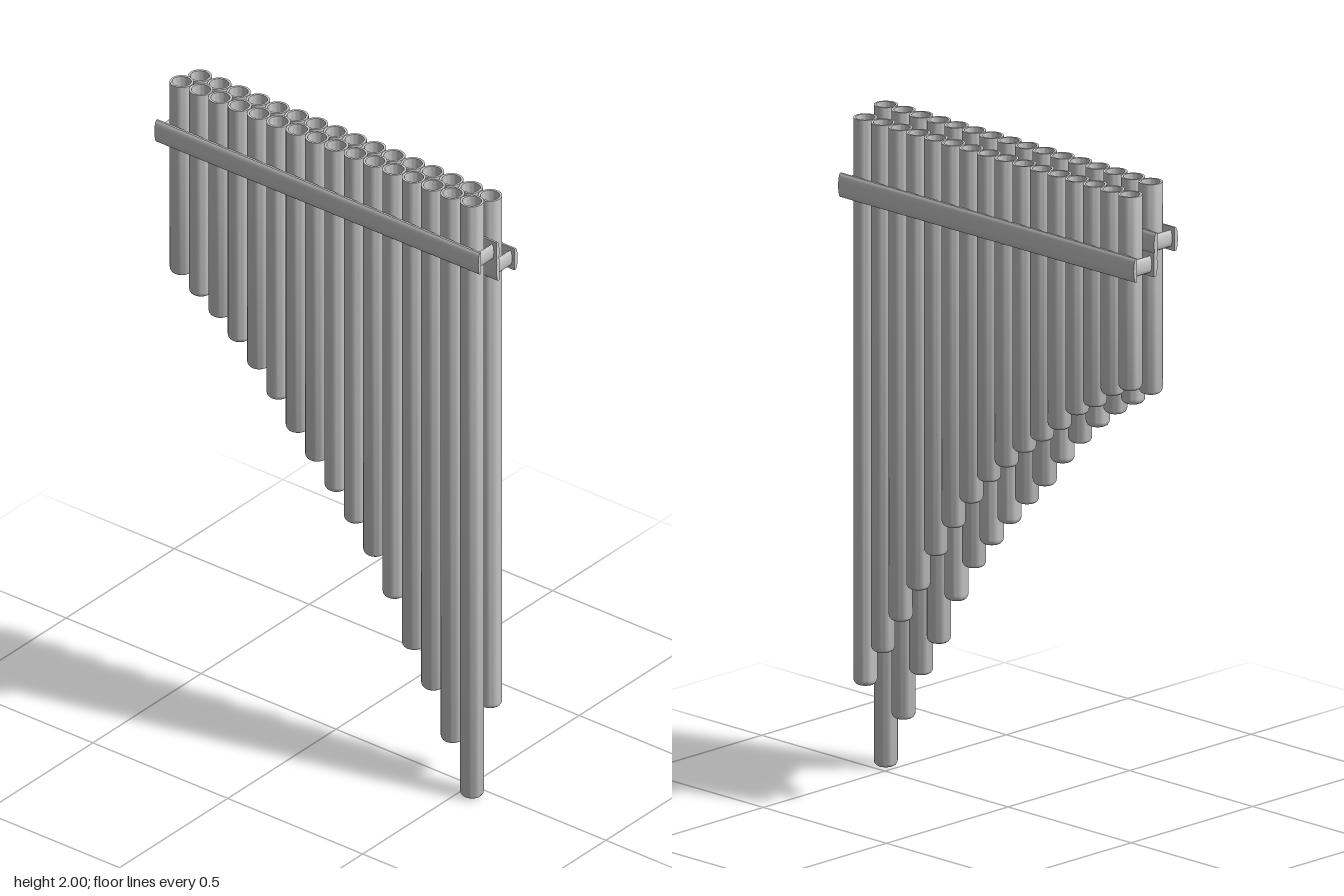
import * as THREE from 'three';
import { toCreasedNormals } from 'three/addons/utils/BufferGeometryUtils.js';

const grey = new THREE.MeshStandardMaterial({ color: 0xcccccc });

// Pipe lengths, from the longest (+x) to the shortest (-x)
const FRONT = [2, 1.84, 1.69, 1.58, 1.435, 1.32, 1.235, 1.155, 1.08, 1.01, 0.925, 0.85, 0.785, 0.73, 0.685, 0.64];
const BACK = [1.715, 1.6, 1.49, 1.38, 1.26, 1.16, 1.07, 0.99, 0.93, 0.87, 0.82, 0.77, 0.71, 0.67, 0.62, 0.59];
const STEP = 0.0717, R = 0.035, INNER = 0.028, FIRST_X = 0.5375;

function add(group, name, geometry, x, y, z) {
  const mesh = new THREE.Mesh(geometry, grey);
  mesh.name = name;
  mesh.position.set(x, y, z);
  group.add(mesh);
  return mesh;
}

// Hollow tube, open at the top (y = 0), with a rounded closed bottom
function pipeGeometry(length) {
  const pts = [new THREE.Vector2(0, -length)];
  const round = 0.018;
  for (let i = 0; i <= 4; i++) {
    const a = (i / 4) * Math.PI / 2;
    pts.push(new THREE.Vector2(R - round + round * Math.sin(a), -length + round - round * Math.cos(a)));
  }
  pts.push(
    new THREE.Vector2(R, 0),
    new THREE.Vector2(INNER, 0),
    new THREE.Vector2(INNER, -length + 0.03),
    new THREE.Vector2(INNER * 0.6, -length + 0.013),
    new THREE.Vector2(0, -length + 0.01)
  );
  return toCreasedNormals(new THREE.LatheGeometry(pts, 28), 0.7);
}

// Long half-round rail along x: flat towards the pipes, bulging to +z
function railGeometry() {
  const h = 0.036, t = 0.0075;
  const s = new THREE.Shape();
  s.moveTo(-t, -h);
  s.lineTo(-t * 0.2, -h);
  s.bezierCurveTo(t * 1.2, -h * 0.8, t * 1.2, h * 0.8, -t * 0.2, h);
  s.lineTo(-t, h);
  s.closePath();
  const g = new THREE.ExtrudeGeometry(s, { depth: 1.2, bevelEnabled: false, curveSegments: 10 });
  g.translate(0, 0, -0.6);
  g.rotateY(-Math.PI / 2);
  return toCreasedNormals(g, 0.7);
}

// Short flat strap along z with rounded long edges
function strapGeometry() {
  const g = new THREE.CapsuleGeometry(0.0075, 0.081, 4, 12);
  g.rotateX(Math.PI / 2);
  g.scale(1, 3.4, 1);
  return g;
}

// One row: pipes, rails on both faces, and a strap at each end
function makeRow(name, lengths, topY, railY, z, outward) {
  const row = new THREE.Group();
  row.name = name;
  lengths.forEach((length, i) => {
    add(row, 'pipe' + (i + 1), pipeGeometry(length), FIRST_X - i * STEP, topY, z);
  });
  const rail = railGeometry();
  for (const side of [1, -1]) {
    const m = add(row, side === outward ? 'outerRail' : 'innerRail', rail, 0, railY, z + side * 0.0425);
    if (side < 0) m.rotation.y = Math.PI;
  }
  const strap = strapGeometry();
  for (const x of [0.583, -0.583]) add(row, 'endStrap', strap, x, railY, z);
  return row;
}

export function createModel() {
  const model = new THREE.Group();
  model.name = 'panFlute';
  model.add(makeRow('frontRow', FRONT, 2, 1.83, 0.042, 1));
  model.add(makeRow('backRow', BACK, 1.98, 1.77, -0.042, -1));
  return model;
}
